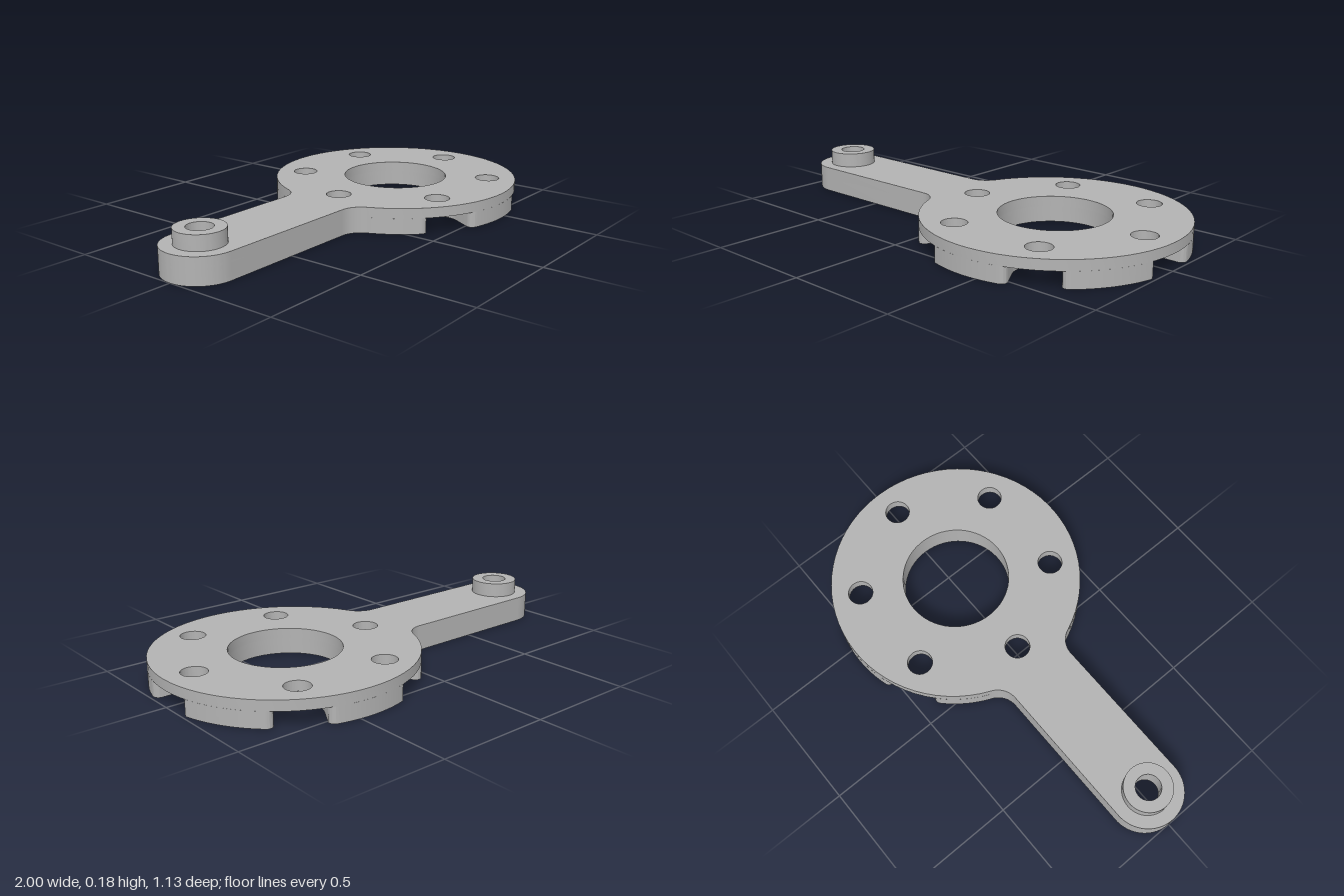
import * as THREE from 'three';
import { toCreasedNormals } from 'three/addons/utils/BufferGeometryUtils.js';

const DISC_X = 0.435, DISC_R = 0.565;      // disc centre and radius
const ARM_X = -0.84, ARM_R = 0.16;         // arm end centre and half width
const NECK_R = 0.1;                        // fillet between arm and disc
const BOLT_R = 0.435, HOLE_R = 0.055, BORE_R = 0.1;
const POCKET_Y = 0.07, TOP_Y = 0.115, BOSS_Y = 0.18;
const DEG = Math.PI / 180;

function addHole(shape, x, y, r) {
  shape.holes.push(new THREE.Path().absarc(x, y, r, 0, Math.PI * 2, true));
}

function boltPoint(a) {
  return [DISC_X + BOLT_R * Math.cos(a), BOLT_R * Math.sin(a)];
}

// Rounded slot cut from the rim inwards, with eased corners at the mouth
function cutNotch(s, a) {
  const f = 0.025, v = BORE_R + f;
  const u = Math.sqrt((DISC_R - f) ** 2 - v * v);
  const d = Math.atan2(v, u);
  const corner = (side) => [
    DISC_X + u * Math.cos(a) - side * v * Math.sin(a),
    u * Math.sin(a) + side * v * Math.cos(a),
  ];
  s.absarc(...corner(-1), f, a - d, a + Math.PI / 2, false);
  s.absarc(...boltPoint(a), BORE_R, a - Math.PI / 2, a - 1.5 * Math.PI, true);
  s.absarc(...corner(1), f, a - Math.PI / 2, a + d, false);
  return d;
}

// Disc and arm outline, optionally notched at the given angles
function outline(notches) {
  const s = new THREE.Shape();
  const fz = ARM_R + NECK_R;
  const fdx = Math.sqrt((DISC_R + NECK_R) ** 2 - fz * fz);
  const fx = DISC_X - fdx, t = Math.atan2(fz, fdx);
  s.moveTo(ARM_X, -ARM_R);
  s.absarc(fx, -fz, NECK_R, Math.PI / 2, t, true);
  let from = -Math.PI + t;
  for (const a of notches) {
    const d = Math.asin((BORE_R + 0.025) / (DISC_R - 0.025));
    s.absarc(DISC_X, 0, DISC_R, from, a - d, false);
    from = a + cutNotch(s, a);
  }
  s.absarc(DISC_X, 0, DISC_R, from, Math.PI - t, false);
  s.absarc(fx, fz, NECK_R, -t, -Math.PI / 2, true);
  s.absarc(ARM_X, 0, ARM_R, Math.PI / 2, 1.5 * Math.PI, false);
  addHole(s, DISC_X, 0, 0.24);
  return s;
}

function slab(name, shape, y0, y1, material) {
  const geo = new THREE.ExtrudeGeometry(shape, {
    depth: y1 - y0, bevelEnabled: false, curveSegments: 32,
  });
  geo.rotateX(-Math.PI / 2).translate(0, y0, 0);
  const mesh = new THREE.Mesh(toCreasedNormals(geo, 30 * DEG), material);
  mesh.name = name;
  return mesh;
}

export function createModel() {
  const group = new THREE.Group();
  group.name = 'slottedArmPlate';
  const grey = new THREE.MeshStandardMaterial({ color: 0xb3b3b3 });
  grey.name = 'plain grey';

  // Lower layer: open slots around the rim, round bores on the arm side
  const lower = outline([-120, -60, 0, 60, 120].map((a) => a * DEG));
  addHole(lower, ...boltPoint(Math.PI), BORE_R);
  addHole(lower, ARM_X, 0, BORE_R);
  group.add(slab('slottedLowerPlate', lower, 0, POCKET_Y, grey));

  // Upper layer: through holes only
  const upper = outline([]);
  for (let i = 0; i < 6; i++) addHole(upper, ...boltPoint(i * 60 * DEG), HOLE_R);
  addHole(upper, ARM_X, 0, HOLE_R);
  group.add(slab('upperPlate', upper, POCKET_Y, TOP_Y, grey));

  // Raised ring at the arm end
  const ring = new THREE.Shape().absarc(ARM_X, 0, 0.105, 0, Math.PI * 2, false);
  addHole(ring, ARM_X, 0, HOLE_R);
  group.add(slab('armBoss', ring, TOP_Y, BOSS_Y, grey));

  return group;
}
